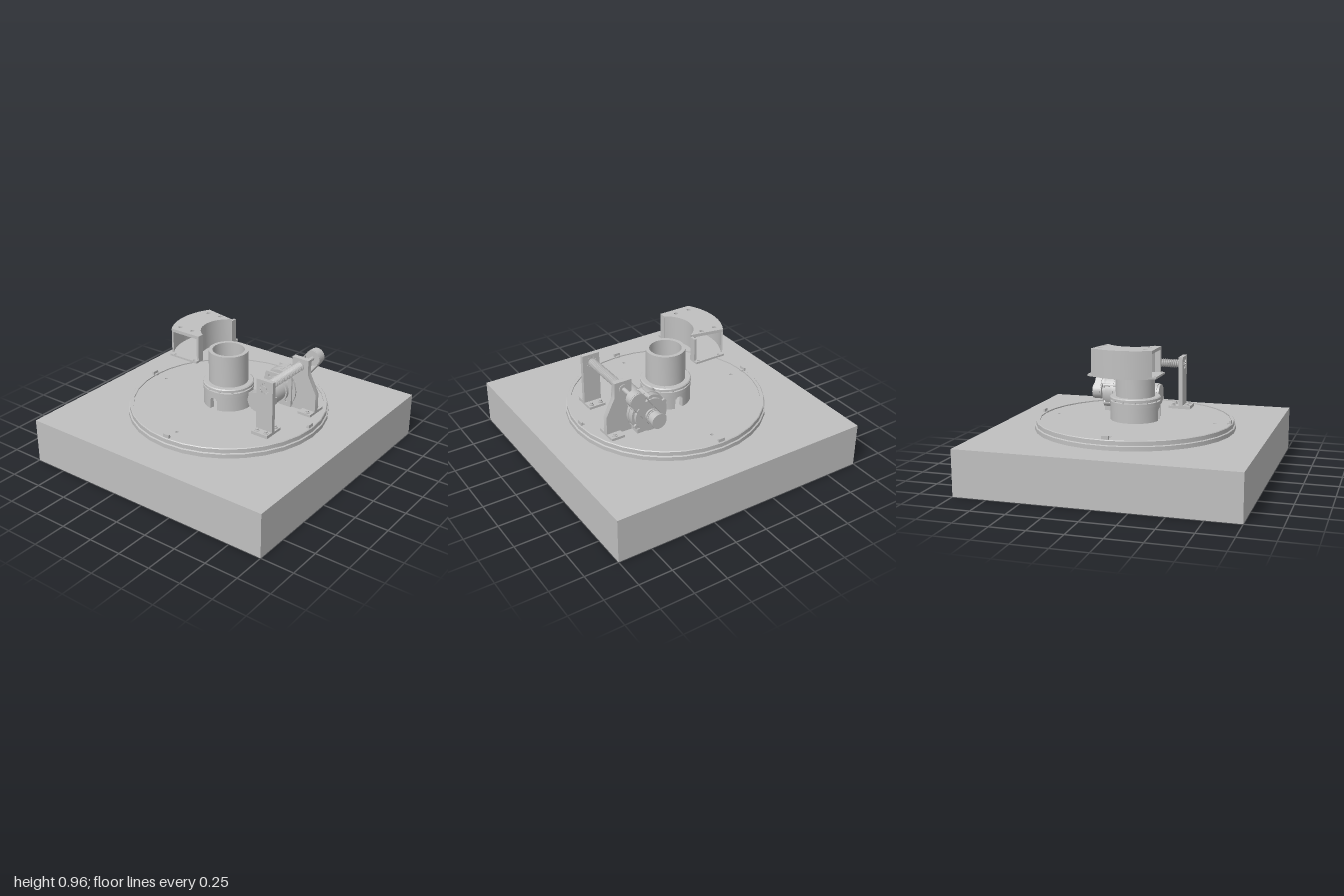
import * as THREE from 'three';
import { toCreasedNormals } from 'three/addons/utils/BufferGeometryUtils.js';

const grey = new THREE.MeshStandardMaterial({ color: 0xc0c0c0 });
grey.name = 'machined grey';

export function createModel() {
  const model = new THREE.Group();
  model.name = 'turntableDrive';

  const add = (name, geo, x = 0, y = 0, z = 0) => {
    const m = new THREE.Mesh(toCreasedNormals(geo, 0.5), grey);
    m.name = name;
    m.position.set(x, y, z);
    model.add(m);
    return m;
  };
  // box given by its min and max on each axis
  const box = (name, x0, x1, y0, y1, z0, z1) =>
    add(name, new THREE.BoxGeometry(x1 - x0, y1 - y0, z1 - z0), (x0 + x1) / 2, (y0 + y1) / 2, (z0 + z1) / 2);
  // cylinders along y and along z
  const rodY = (name, r, x, z, y0, y1, n = 32) =>
    add(name, new THREE.CylinderGeometry(r, r, y1 - y0, n), x, (y0 + y1) / 2, z);
  const rodZ = (name, r, x, y, z0, z1, n = 32) =>
    add(name, new THREE.CylinderGeometry(r, r, z1 - z0, n).rotateX(Math.PI / 2), x, y, (z0 + z1) / 2);
  const lathe = (name, pts, n = 32) =>
    add(name, new THREE.LatheGeometry(pts.map(p => new THREE.Vector2(...p)), n));
  const extrude = (shape, depth) =>
    new THREE.ExtrudeGeometry(shape, { depth, bevelEnabled: false, curveSegments: 16 });
  // plan shapes use (x, -z), upright shapes use (x, y)
  const plan = (name, shape, y0, y1) => add(name, extrude(shape, y1 - y0).rotateX(-Math.PI / 2), 0, y0, 0);
  const upright = (name, shape, z0, z1) => add(name, extrude(shape, z1 - z0), 0, 0, z0);
  const poly = pts => new THREE.Shape(pts.map(p => new THREE.Vector2(...p)));
  const hole = (shape, x, y, r) => shape.holes.push(new THREE.Path().absarc(x, y, r, 0, Math.PI * 2, true));
  // curved wall segment around the centre
  const sector = (name, r0, r1, a0, a1, y0, y1) => {
    const s = new THREE.Shape();
    s.absarc(0, 0, r1, a0, a1, false);
    s.absarc(0, 0, r0, a1, a0, true);
    s.closePath();
    return plan(name, s, y0, y1);
  };

  // square base block
  box('base', -1, 1, 0, 0.335, -1, 1);

  // turntable disc with pin holes and stepped rim
  const disc = new THREE.Shape().absarc(0, 0, 0.71, 0, Math.PI * 2, false);
  [[0, 0.6], [0, -0.6], [-0.6, 0]].forEach(([x, y]) => hole(disc, x, y, 0.012));
  plan('turntable', disc, 0.336, 0.396);
  lathe('turntableRim', [[0.74, 0.335], [0.74, 0.365], [0.73, 0.37], [0.73, 0.4], [0.725, 0.405],
    [0.702, 0.405], [0.702, 0.39], [0.7, 0.335]]);
  for (let i = 0; i < 4; i++) {
    const a = i * Math.PI / 2;
    const tab = add('rimClip', new THREE.BoxGeometry(0.05, 0.04, 0.014), 0.713 * Math.sin(a), 0.41, 0.713 * Math.cos(a));
    tab.rotation.y = a;
    const lip = add('rimClipLip', new THREE.BoxGeometry(0.03, 0.012, 0.03), 0.705 * Math.sin(a), 0.405, 0.705 * Math.cos(a));
    lip.rotation.y = a;
  }

  // hub housing with an arched window at front and back
  const half = 0.17, cols = 8;
  for (const mid of [Math.PI / 2, -Math.PI / 2]) {
    sector('hubWall', 0.15, 0.183, mid + half, mid + Math.PI - half, 0.39, 0.51);
    for (let i = 0; i < cols; i++) {
      const a = -half + i * 2 * half / cols, t = (a + half / cols) / half;
      sector('hubArch', 0.15, 0.183, mid + a, mid + a + 2 * half / cols, 0.457 + 0.032 * Math.sqrt(1 - t * t), 0.51);
    }
  }
  lathe('hubCollar', [[0.185, 0.51], [0.185, 0.538], [0.165, 0.54], [0.165, 0.55], [0.187, 0.55],
    [0.187, 0.565], [0.18, 0.572], [0.117, 0.572], [0.117, 0.51], [0.185, 0.51]], 40);
  lathe('hubTube', [[0.145, 0.57], [0.145, 0.81], [0.117, 0.81], [0.117, 0.5]], 40);
  for (let i = 0; i < 12; i++) {
    const a = (i + 0.5) * Math.PI / 6;
    rodY('collarBolt', 0.009, 0.172 * Math.sin(a), 0.172 * Math.cos(a), 0.535, 0.555, 8);
  }

  // hollow curved bracket floating beside the tube
  const R = 0.41, r = 0.2, w = 0.222;
  const oa = Math.asin(w / R), ia = Math.acos(0.1 / r);
  const bracketPlan = halfWidth => {
    const s = new THREE.Shape(), outer = Math.asin(0.2 / R);
    if (halfWidth > w) {
      s.moveTo(-0.1, halfWidth);
      s.lineTo(-0.34, halfWidth);
      s.absarc(0, 0, R, Math.PI - outer, Math.PI + outer, false);
      s.lineTo(-0.34, -halfWidth);
    } else {
      s.moveTo(-0.1, halfWidth);
      s.absarc(0, 0, R, Math.PI - oa, Math.PI + oa, false);
    }
    s.lineTo(-0.1, -halfWidth);
    s.absarc(0, 0, r, Math.PI + ia, Math.PI - ia, true);
    s.closePath();
    return s;
  };
  const top = bracketPlan(w), floor = bracketPlan(0.25);
  for (const s of [-1, 1]) {
    for (const x of [-0.31, -0.2]) hole(top, x, s * 0.165, 0.015);
    for (const x of [-0.3, -0.13]) hole(floor, x, s * 0.236, 0.01);
    box('bracketEndPost', -0.118, -0.1, 0.765, 0.945, s > 0 ? 0.172 : -w, s > 0 ? w : -0.172);
  }
  plan('bracketTop', top, 0.937, 0.96);
  plan('bracketFloor', floor, 0.76, 0.775);
  sector('bracketOuterWall', 0.398, R, Math.PI - oa, Math.PI + oa, 0.77, 0.945);
  sector('bracketInnerWall', r, 0.217, Math.PI - ia, Math.PI + ia, 0.77, 0.945);

  // gear motor
  const mx = 0.325, my = 0.525;
  rodZ('motorBody', 0.083, mx, my, -0.16, 0.09);
  rodZ('motorEndCap', 0.076, mx, my, 0.09, 0.107);
  for (const s of [-1, 1]) box('motorLug', mx + s * 0.09 - 0.012, mx + s * 0.09 + 0.012, 0.5, 0.55, -0.005, 0.06);
  rodZ('motorNeck', 0.095, mx, my, -0.175, -0.14);
  const face = poly([[0.22, 0.41], [0.43, 0.41], [0.44, 0.42], [0.44, 0.62], [0.43, 0.64], [0.22, 0.64], [0.21, 0.62], [0.21, 0.42]]);
  const bolts = [[0.25, 0.445], [0.4, 0.445], [0.25, 0.605], [0.4, 0.605]];
  bolts.forEach(([x, y]) => hole(face, x, y, 0.01));
  upright('gearboxFace', face, -0.19, -0.165);
  rodZ('gearboxBody', 0.143, mx, my, -0.3, -0.18);
  rodZ('gearboxFlange', 0.147, mx, my, -0.26, -0.235);
  rodZ('gearboxCover', 0.125, mx, my, -0.325, -0.3);
  box('gearboxFoot', 0.22, 0.43, 0.395, 0.43, -0.31, -0.18);
  for (let i = 0; i < 6; i++) {
    const a = (i + 0.5) * Math.PI / 3;
    rodZ('gearboxLug', 0.017, mx + 0.132 * Math.cos(a), my + 0.132 * Math.sin(a), -0.315, -0.2, 10);
  }
  rodZ('outputBoss', 0.05, mx, my, -0.34, -0.32, 20);
  rodZ('outputShaft', 0.03, mx, my, -0.37, -0.33, 16);

  // belt drive from motor to screw
  const sx = 0.49, sy = 0.74;
  const dir = Math.atan2(sy - my, sx - mx), q = Math.PI / 2;
  const loop = (path, rad) => {
    path.absarc(sx, sy, rad, dir - q, dir + q, false);
    path.absarc(mx, my, rad, dir + q, dir + 3 * q, false);
    path.closePath();
    return path;
  };
  const belt = loop(new THREE.Shape(), 0.06);
  belt.holes.push(loop(new THREE.Path(), 0.052));
  upright('belt', belt, -0.42, -0.368);
  for (const [x, y] of [[mx, my], [sx, sy]]) {
    rodZ('pulley', 0.053, x, y, -0.42, -0.368, 24);
    rodZ('pulleyRearFlange', 0.058, x, y, -0.43, -0.42, 24);
    rodZ('pulleyFrontFlange', 0.058, x, y, -0.368, -0.36, 24);
  }

  // lead screw with threads
  rodZ('screwShaft', 0.015, sx, sy, -0.37, 0.25, 16);
  const thread = [[0, -0.19]], turns = 26, pitch = 0.4 / turns;
  for (let i = 0; i < turns; i++) {
    const y = -0.19 + i * pitch;
    thread.push([0.022, y], [0.033, y + pitch * 0.4], [0.033, y + pitch * 0.6]);
  }
  thread.push([0.022, 0.21], [0, 0.21]);
  const screw = lathe('leadScrew', thread, 20);
  screw.rotation.x = q;
  screw.position.set(sx, sy, 0);

  // front screw support with toothed bearing opening and feet
  const post = poly([[0.425, 0.396], [0.56, 0.396], [0.56, 0.8], [0.425, 0.8]]);
  const teeth = [];
  for (let i = 0; i < 24; i++) {
    const a = -i * Math.PI / 12, rad = i % 2 ? 0.03 : 0.042;
    teeth.push(new THREE.Vector2(sx + rad * Math.cos(a), sy + rad * Math.sin(a)));
  }
  post.holes.push(new THREE.Path(teeth));
  upright('frontPost', post, 0.218, 0.25);
  rodZ('frontBearing', 0.036, sx, sy, 0.222, 0.244, 20);
  box('frontFoot', 0.425, 0.56, 0.39, 0.42, 0.25, 0.31);
  box('frontInnerFoot', 0.43, 0.56, 0.39, 0.415, 0.14, 0.218);
  for (const x of [0.455, 0.53]) for (const z of [0.28, 0.17]) {
    rodY('footWasher', 0.019, x, z, 0.41, 0.424, 16);
    rodY('footBolt', 0.011, x, z, 0.41, 0.434, 6);
  }

  // rear screw support with sloped side and feet
  const rear = poly([[0.43, 0.396], [0.63, 0.396], [0.63, 0.55], [0.56, 0.69], [0.56, 0.8], [0.425, 0.8], [0.425, 0.69], [0.46, 0.6]]);
  hole(rear, sx, sy, 0.034);
  upright('rearPost', rear, -0.232, -0.192);
  rodZ('rearBearing', 0.036, sx, sy, -0.238, -0.186, 20);
  box('rearFoot', 0.525, 0.63, 0.39, 0.415, -0.3, -0.13);
  for (const z of [-0.27, -0.155]) {
    rodY('footWasher', 0.021, 0.59, z, 0.41, 0.42, 16);
    rodY('footBolt', 0.011, 0.59, z, 0.41, 0.43, 6);
  }

  return model;
}
